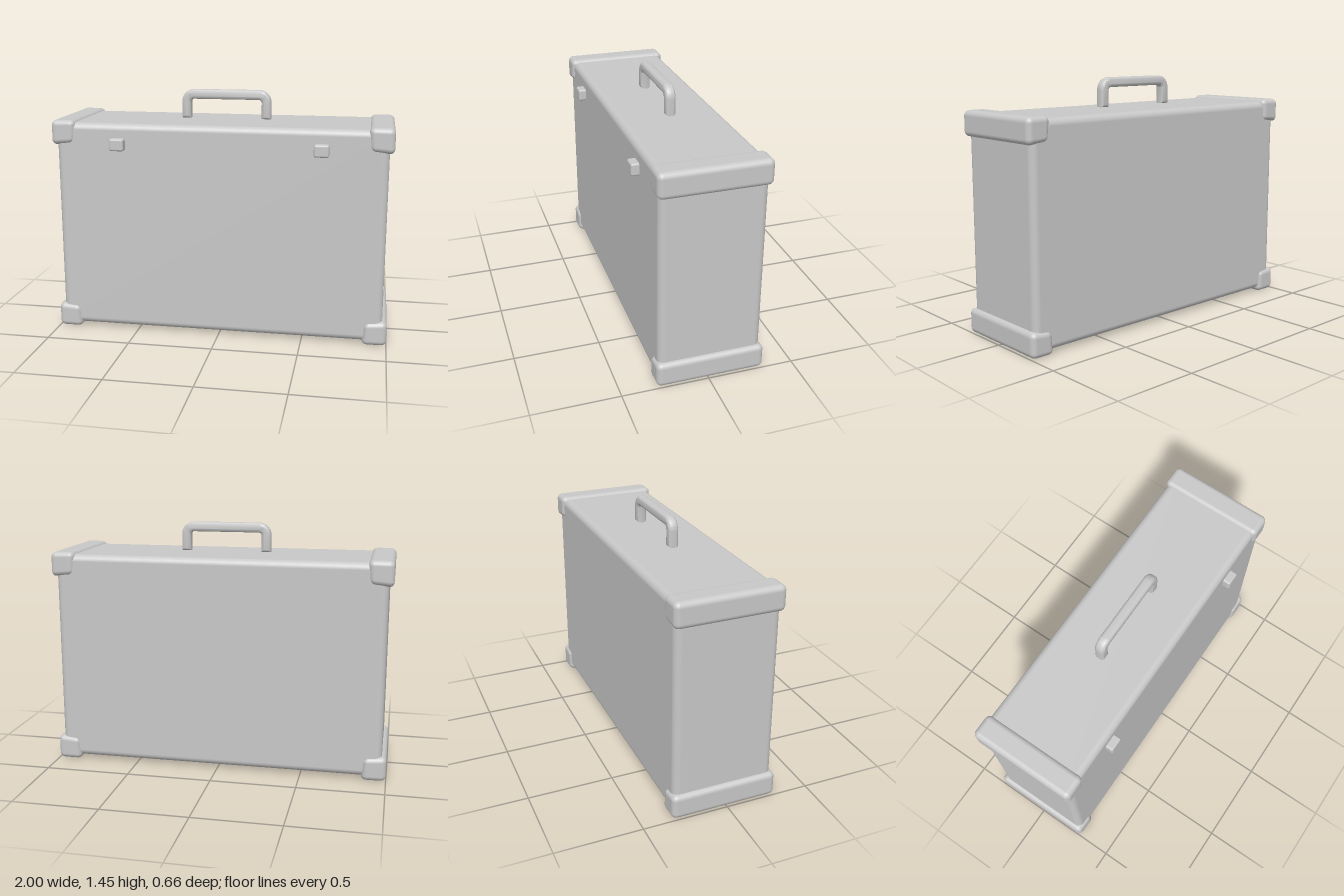
import * as THREE from 'three';
import { RoundedBoxGeometry } from 'three/addons/geometries/RoundedBoxGeometry.js';
import { toCreasedNormals } from 'three/addons/utils/BufferGeometryUtils.js';

const MID_Z = -0.015; // the case sits slightly back because of the latches

export function createModel() {
  const group = new THREE.Group();
  group.name = 'suitcase';
  const grey = new THREE.MeshStandardMaterial({ name: 'light grey', color: 0xc8c8c8 });

  const add = (name, geometry, x, y, z) => {
    const mesh = new THREE.Mesh(geometry, grey);
    mesh.name = name;
    mesh.position.set(x, y, z);
    group.add(mesh);
  };

  // Main case with softly rounded edges
  add('caseBody', new RoundedBoxGeometry(1.945, 1.25, 0.596, 5, 0.04), 0, 0.645, MID_Z);

  // Protective bars over the four long corners, pinched at their inner edge
  const w = 0.145, h = 0.148;
  for (const sx of [-1, 1]) {
    for (const sy of [-1, 1]) {
      const geo = new RoundedBoxGeometry(w, h, 0.625, 5, 0.032);
      const p = geo.attributes.position;
      for (let i = 0; i < p.count; i++) {
        const u = 0.5 - (sx * p.getX(i)) / w;
        const v = 0.5 - (sy * p.getY(i)) / h;
        p.setX(i, p.getX(i) + sx * 0.012 * u * v);
        p.setY(i, p.getY(i) + sy * 0.014 * u * v);
      }
      const name = (sy > 0 ? 'upper' : 'lower') + (sx > 0 ? 'Left' : 'Right') + 'CornerGuard';
      add(name, geo, sx * (1 - w / 2), sy > 0 ? 1.285 - h / 2 : h / 2, MID_Z);
    }
    // Latch on the front
    add(sx > 0 ? 'leftLatch' : 'rightLatch',
      new RoundedBoxGeometry(0.086, 0.072, 0.08, 3, 0.012), sx * 0.595, 1.152, 0.288);
  }

  // Carrying handle: a bevelled arch
  const bevel = 0.018;
  const arch = (path, half, top, r, bottom, back) => {
    const pts = new THREE.Path();
    pts.moveTo(-half, bottom);
    pts.lineTo(-half, top - r);
    pts.absarc(-half + r, top - r, r, Math.PI, Math.PI / 2, true);
    pts.absarc(half - r, top - r, r, Math.PI / 2, 0, true);
    pts.lineTo(half, bottom);
    const list = pts.getPoints(8);
    return path.concat(back ? list.reverse() : list);
  };
  let outline = arch([], 0.252, 1.432, 0.055, 1.297, false);
  outline = arch(outline, 0.232, 1.411, 0.036, 1.297, true);
  const handle = new THREE.ExtrudeGeometry(new THREE.Shape(outline), {
    depth: 0.024, bevelEnabled: true, bevelThickness: bevel, bevelSize: bevel,
    bevelSegments: 5, curveSegments: 8,
  });
  handle.translate(0, 0, -0.012);
  add('handle', toCreasedNormals(handle, 0.7), 0, 0, MID_Z);

  return group;
}
